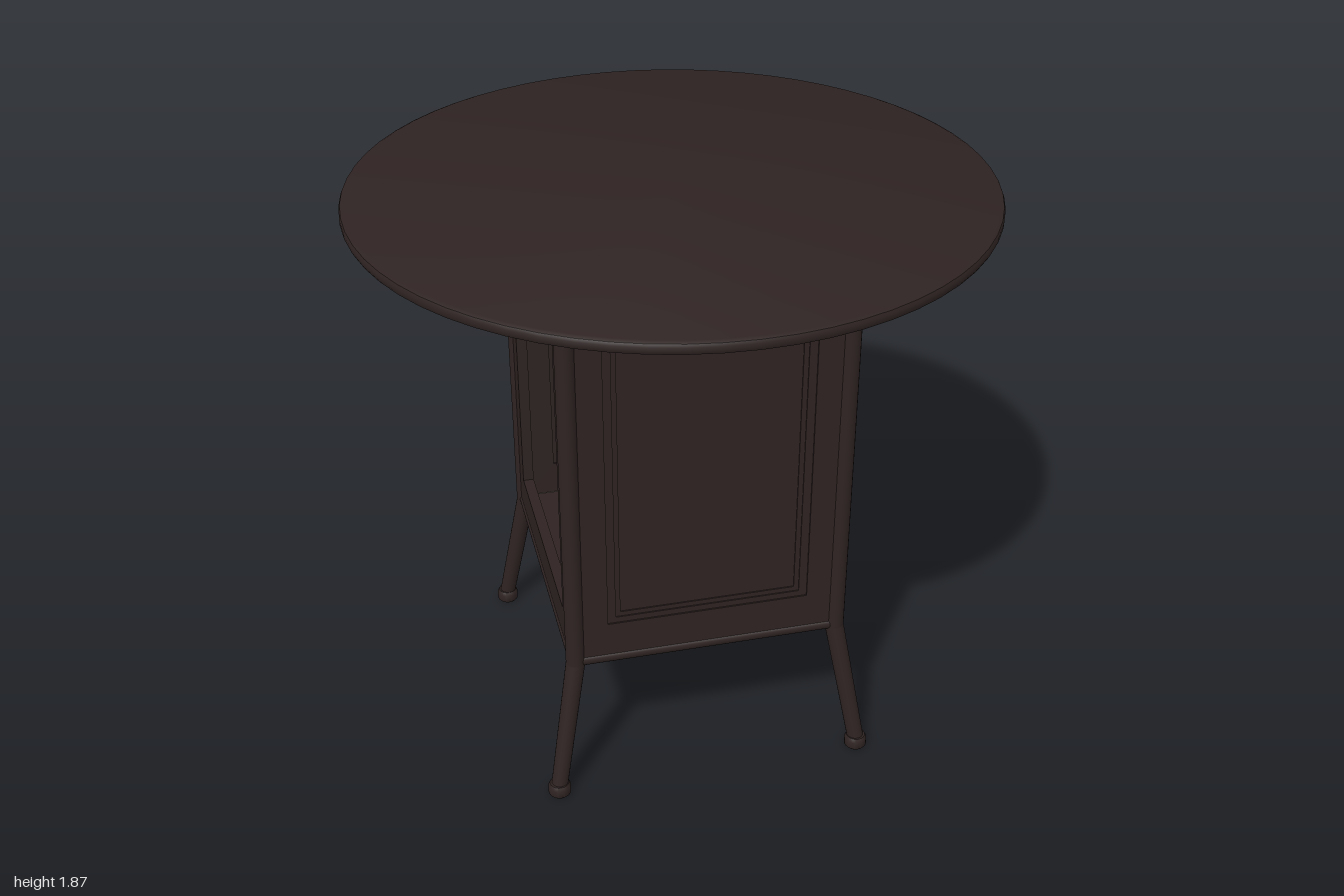
import * as THREE from 'three';
import { toCreasedNormals } from 'three/addons/utils/BufferGeometryUtils.js';

const wood = new THREE.MeshStandardMaterial({ color: 0x2e2322 });
wood.name = 'dark wood';

const POST_X = 0.43, POST_Z = 0.48, R = 0.031, BEND = 0.48;
const FRAME_BOTTOM = 0.5, FRAME_TOP = 1.822;

function add(parent, name, geometry, x = 0, y = 0, z = 0) {
  const mesh = new THREE.Mesh(geometry, wood);
  mesh.name = name;
  mesh.position.set(x, y, z);
  parent.add(mesh);
  return mesh;
}

// Round bar between two points
function bar(parent, name, a, b, r0, r1 = r0) {
  const dir = b.clone().sub(a);
  const mesh = add(parent, name, new THREE.CylinderGeometry(r1, r0, dir.length(), 20));
  mesh.position.copy(a).add(b).multiplyScalar(0.5);
  mesh.quaternion.setFromUnitVectors(new THREE.Vector3(0, 1, 0), dir.normalize());
  return mesh;
}

// Flat rectangular ring, centred on z = 0
function ring(halfW, y0, y1, holeW, h0, h1, depth) {
  const rect = (Type, w, a, b) => {
    const p = new Type();
    p.moveTo(-w, a).lineTo(w, a).lineTo(w, b).lineTo(-w, b).closePath();
    return p;
  };
  const shape = rect(THREE.Shape, halfW, y0, y1);
  shape.holes.push(rect(THREE.Path, holeW, h0, h1));
  const g = new THREE.ExtrudeGeometry(shape, { depth, bevelEnabled: false });
  return g.translate(0, 0, -depth / 2);
}

// Framed wall with stepped moulding; the panel is optional
function wall(name, halfW, opening, filled) {
  const g = new THREE.Group();
  g.name = name;
  add(g, 'frame', ring(halfW, FRAME_BOTTOM, FRAME_TOP, opening, 0.625, 1.745, 0.036));
  if (filled) {
    add(g, 'outerMoulding', ring(opening, 0.625, 1.745, opening - 0.026, 0.645, 1.725, 0.026));
    add(g, 'innerMoulding', ring(opening - 0.026, 0.645, 1.725, opening - 0.042, 0.661, 1.705, 0.018));
    add(g, 'panel', new THREE.BoxGeometry(2 * (opening - 0.042), 1.044, 0.01), 0, 1.183, 0);
  }
  return g;
}

// Support under the top with clipped corners and a bevelled lower edge
function supportGeometry() {
  const w = 0.045, l = 0.55, c = 0.025;
  const s = new THREE.Shape();
  s.moveTo(-w + c, -l).lineTo(w - c, -l).lineTo(w, -l + c).lineTo(w, l - c);
  s.lineTo(w - c, l).lineTo(-w + c, l).lineTo(-w, l - c).lineTo(-w, -l + c).closePath();
  const g = new THREE.ExtrudeGeometry(s, {
    depth: 0.026, bevelEnabled: true, bevelSize: 0.018, bevelThickness: 0.012, bevelSegments: 2,
  });
  return g.rotateX(-Math.PI / 2);
}

export function createModel() {
  const model = new THREE.Group();
  model.name = 'cabinetTable';

  // Round top with softened rim
  const rim = [[0, 1.83], [0.985, 1.83], [0.996, 1.836], [1, 1.844], [1, 1.858], [0.996, 1.867], [0.985, 1.872], [0, 1.872]];
  const top = new THREE.LatheGeometry(rim.map(([x, y]) => new THREE.Vector2(x, y)), 64);
  add(model, 'tableTop', toCreasedNormals(top, 0.6));

  // Supports beneath the top on both sides
  for (const s of [-1, 1]) add(model, 'topSupport', supportGeometry(), s * 0.55, 1.793, 0);

  // Posts, splayed legs and feet
  const foot = [[0, 0], [0.032, 0], [0.037, 0.006], [0.037, 0.032], [0.031, 0.044], [0, 0.046]];
  const footGeometry = toCreasedNormals(
    new THREE.LatheGeometry(foot.map(([x, y]) => new THREE.Vector2(x, y)), 20), 0.7);
  for (const sx of [-1, 1]) {
    for (const sz of [-1, 1]) {
      const bend = new THREE.Vector3(sx * POST_X, BEND, sz * POST_Z);
      bar(model, 'cornerPost', bend, new THREE.Vector3(sx * POST_X, 1.832, sz * POST_Z), R);
      bar(model, 'leg', new THREE.Vector3(sx * 0.508, 0.03, sz * 0.543), bend, 0.027, R);
      add(model, 'legJoint', new THREE.SphereGeometry(R, 20, 12), bend.x, bend.y, bend.z);
      add(model, 'foot', footGeometry, sx * 0.508, 0, sz * 0.543);
    }
  }

  // Lower rails and cabinet floor
  const y = 0.492, r = 0.023;
  for (const s of [-1, 1]) {
    bar(model, 'lowerRail', new THREE.Vector3(-POST_X, y, s * POST_Z), new THREE.Vector3(POST_X, y, s * POST_Z), r);
    bar(model, 'lowerRail', new THREE.Vector3(s * POST_X, y, -POST_Z), new THREE.Vector3(s * POST_X, y, POST_Z), r);
  }
  add(model, 'floor', new THREE.BoxGeometry(2 * POST_X, 0.03, 2 * POST_Z), 0, 0.49, 0);

  // Three panelled walls, and one open frame on the -x side
  const front = wall('frontWall', POST_X, 0.325, true);
  front.position.z = POST_Z;
  const back = wall('backWall', POST_X, 0.325, true);
  back.position.z = -POST_Z;
  const left = wall('leftWall', POST_Z, 0.378, true);
  left.position.x = POST_X;
  left.rotation.y = Math.PI / 2;
  const open = wall('openFrame', POST_Z, 0.378, false);
  open.position.x = -POST_X;
  open.rotation.y = Math.PI / 2;
  model.add(front, back, left, open);

  return model;
}
